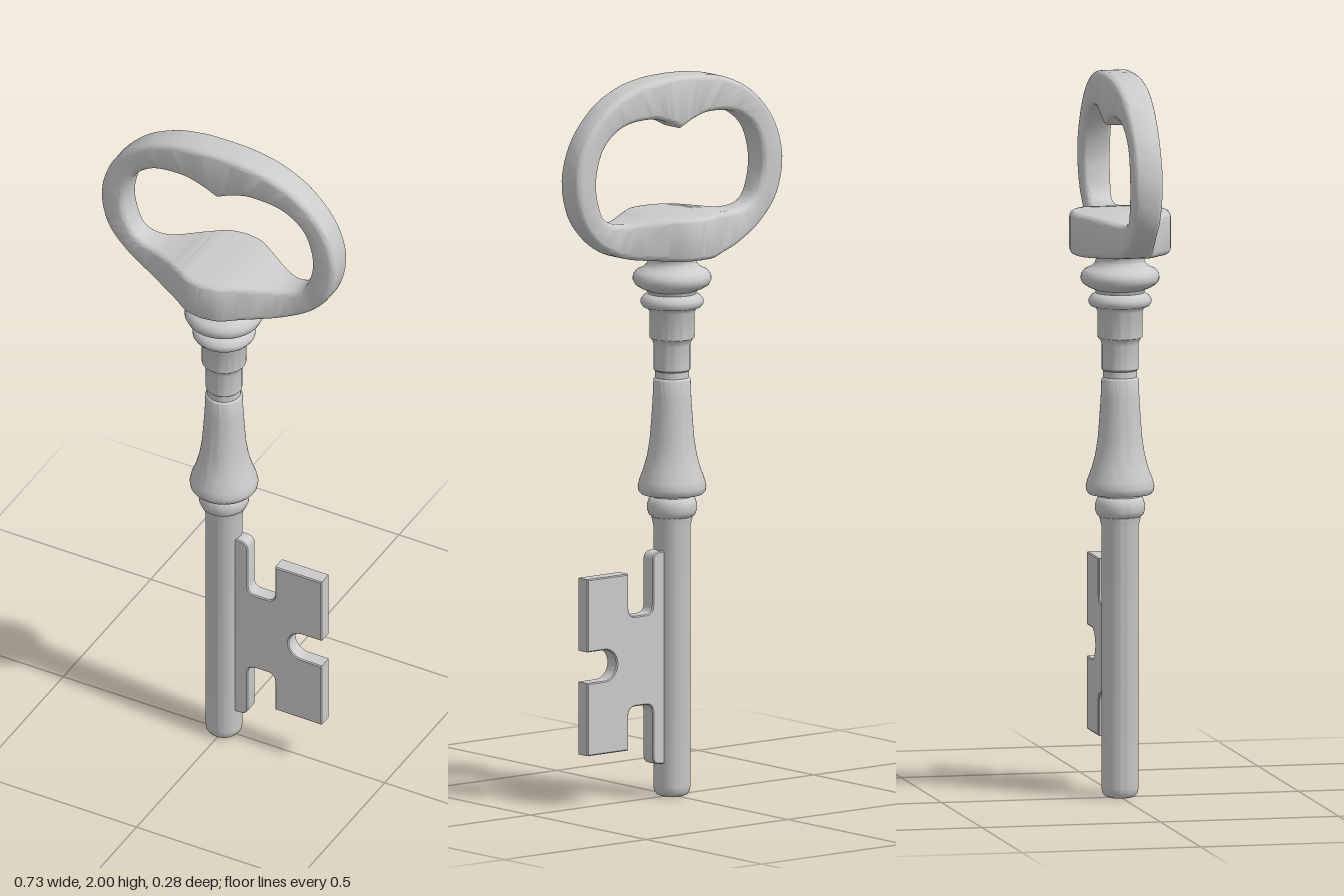
import * as THREE from 'three';
import { toCreasedNormals } from 'three/addons/utils/BufferGeometryUtils.js';

const material = new THREE.MeshStandardMaterial({ color: 0xcccccc });

function part(name, geometry) {
  const mesh = new THREE.Mesh(geometry, material);
  mesh.name = name;
  return mesh;
}

const curve = (pts) => new THREE.CatmullRomCurve3(pts, false, 'catmullrom', 0.5);

// Handle ring: rounded-rectangle sections swept between an outer and an inner outline
function bowGeometry() {
  // outer x, outer y, inner x, inner y, half depth; from top centre to bottom centre
  const stations = [
    [0, 2, 0, 1.855, 0.047], [0.08, 1.996, 0.05, 1.878, 0.047],
    [0.17, 1.977, 0.11, 1.89, 0.045], [0.26, 1.93, 0.2, 1.877, 0.042],
    [0.335, 1.845, 0.265, 1.825, 0.04], [0.365, 1.74, 0.292, 1.74, 0.041],
    [0.345, 1.635, 0.28, 1.665, 0.039], [0.285, 1.56, 0.25, 1.622, 0.037],
    [0.2, 1.515, 0.19, 1.608, 0.05], [0.1, 1.503, 0.1, 1.618, 0.1],
    [0.05, 1.5, 0.05, 1.62, 0.13], [0, 1.5, 0, 1.62, 0.14],
  ];
  const outer = curve(stations.map((s) => new THREE.Vector3(s[0], s[1], s[4])));
  const inner = curve(stations.map((s) => new THREE.Vector3(s[2], s[3], s[4])));
  const half = 66, total = half * 2, corner = 5, ring = 4 * (corner + 1);
  const positions = [], index = [];
  for (let i = 0; i < total; i++) {
    const mirror = i > half ? -1 : 1;
    const t = (i > half ? total - i : i) / half;
    const o = outer.getPoint(t), n = inner.getPoint(t);
    const width = Math.hypot(o.x - n.x, o.y - n.y), depth = o.z, r = 0.018;
    for (let q = 0; q < 4; q++) {
      const su = q === 0 || q === 3 ? 1 : -1, sz = q < 2 ? 1 : -1;
      for (let k = 0; k <= corner; k++) {
        const a = (q + k / corner) * Math.PI / 2;
        const u = 0.5 + (su * (width / 2 - r) + r * Math.cos(a)) / width;
        const z = sz * (depth - r) + r * Math.sin(a);
        positions.push(mirror * (n.x + (o.x - n.x) * u), n.y + (o.y - n.y) * u, z);
      }
    }
    for (let j = 0; j < ring; j++) {
      const i2 = (i + 1) % total, j2 = (j + 1) % ring;
      const a = i * ring + j, b = i2 * ring + j, c = i * ring + j2, d = i2 * ring + j2;
      index.push(a, c, b, c, d, b);
    }
  }
  const geometry = new THREE.BufferGeometry();
  geometry.setAttribute('position', new THREE.Float32BufferAttribute(positions, 3));
  geometry.setIndex(index);
  return toCreasedNormals(geometry, 0.6);
}

// Turned shaft with collars, from radius/height pairs
function shaftGeometry() {
  const profile = [
    [0, 0], [0.032, 0], [0.042, 0.004], [0.049, 0.014], [0.051, 0.028], [0.051, 0.75],
    [0.055, 0.765], [0.056, 0.775], [0.063, 0.78], [0.068, 0.792], [0.068, 0.81],
    [0.063, 0.825], [0.056, 0.83], [0.056, 0.835], [0.085, 0.838], [0.092, 0.846],
    [0.094, 0.858], [0.09, 0.876], [0.078, 0.908], [0.068, 0.945], [0.061, 0.99],
    [0.057, 1.04], [0.053, 1.1], [0.051, 1.155], [0.046, 1.16], [0.046, 1.178],
    [0.05, 1.182], [0.05, 1.25], [0.054, 1.263], [0.061, 1.27], [0.062, 1.343],
    [0.068, 1.353], [0.08, 1.357], [0.086, 1.366], [0.086, 1.376], [0.078, 1.387],
    [0.066, 1.393], [0.069, 1.402], [0.088, 1.41], [0.102, 1.42], [0.108, 1.432],
    [0.107, 1.445], [0.098, 1.457], [0.08, 1.465], [0.068, 1.477], [0.066, 1.488],
    [0.072, 1.5], [0.09, 1.512], [0, 1.53],
  ].map(([r, y]) => new THREE.Vector2(r, y));
  return toCreasedNormals(new THREE.LatheGeometry(profile, 48), 0.75);
}

// Flat toothed bit
function bitGeometry() {
  const s = new THREE.Shape(), rr = 0.025;
  s.moveTo(0, 0.095);
  s.lineTo(0.06, 0.095);
  s.quadraticCurveTo(0.085, 0.095, 0.085, 0.12);
  s.lineTo(0.085, 0.265 - rr);
  s.quadraticCurveTo(0.085, 0.265, 0.085 + rr, 0.265);
  s.lineTo(0.17 - rr, 0.265);
  s.quadraticCurveTo(0.17, 0.265, 0.17, 0.265 - rr);
  s.lineTo(0.17, 0.145);
  s.lineTo(0.315, 0.145);
  s.lineTo(0.315, 0.347);
  s.lineTo(0.255, 0.347);
  s.absarc(0.255, 0.39, 0.043, -Math.PI / 2, Math.PI / 2, true);
  s.lineTo(0.315, 0.433);
  s.lineTo(0.315, 0.635);
  s.lineTo(0.17, 0.635);
  s.lineTo(0.17, 0.515 + rr);
  s.quadraticCurveTo(0.17, 0.515, 0.17 - rr, 0.515);
  s.lineTo(0.085 + rr, 0.515);
  s.quadraticCurveTo(0.085, 0.515, 0.085, 0.515 + rr);
  s.lineTo(0.085, 0.66);
  s.quadraticCurveTo(0.085, 0.685, 0.06, 0.685);
  s.lineTo(0, 0.685);
  s.closePath();
  const bevel = 0.003;
  const geometry = new THREE.ExtrudeGeometry(s, {
    depth: 0.044 - 2 * bevel, curveSegments: 10, bevelEnabled: true,
    bevelThickness: bevel, bevelSize: bevel, bevelOffset: -bevel, bevelSegments: 1,
  });
  geometry.translate(0, 0, -0.022 + bevel);
  return toCreasedNormals(geometry, 0.5);
}

export function createModel() {
  const group = new THREE.Group();
  group.name = 'key';
  group.add(
    part('bow', bowGeometry()),
    part('shaft', shaftGeometry()),
    part('bit', bitGeometry()),
  );
  return group;
}
